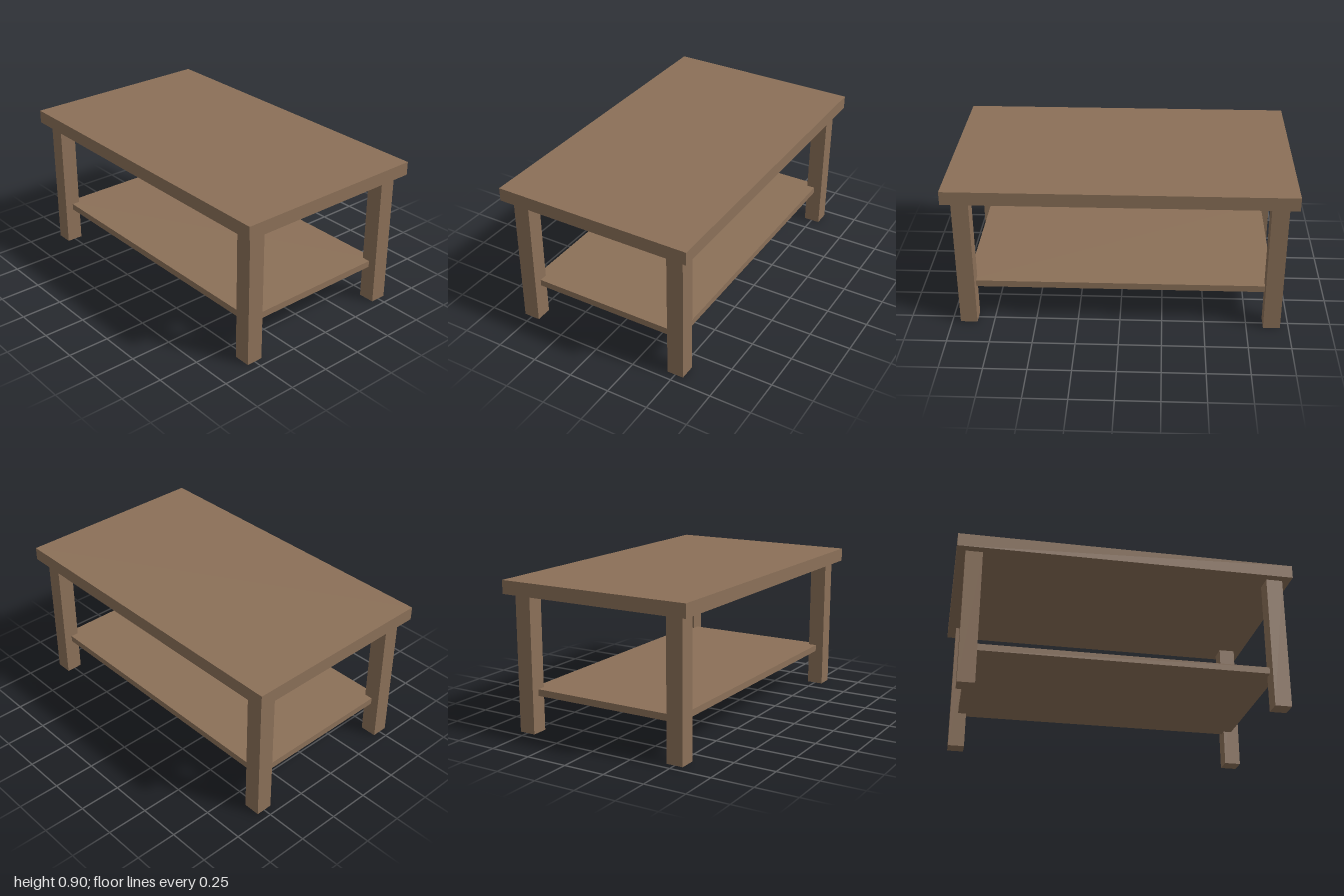
import * as THREE from 'three';

export function createModel() {
  const group = new THREE.Group();
  group.name = 'coffeeTable';
  const wood = new THREE.MeshStandardMaterial({ color: 0x8b7058 });

  // Box resting on height y
  const addBox = (name, w, h, d, x, y, z) => {
    const mesh = new THREE.Mesh(new THREE.BoxGeometry(w, h, d), wood);
    mesh.name = name;
    mesh.position.set(x, y + h / 2, z);
    group.add(mesh);
  };

  addBox('tableTop', 2, 0.08, 1.2, 0, 0.82, 0);

  // Lower shelf, its corners let into the middle of each leg
  addBox('shelf', 1.8, 0.04, 1, 0, 0.22, 0);

  // Four square legs
  for (const [side, x] of [['Left', 0.9], ['Right', -0.9]]) {
    for (const [end, z] of [['front', 0.5], ['back', -0.5]]) {
      addBox(`${end}${side}Leg`, 0.1, 0.82, 0.1, x, 0, z);
    }
  }

  return group;
}
